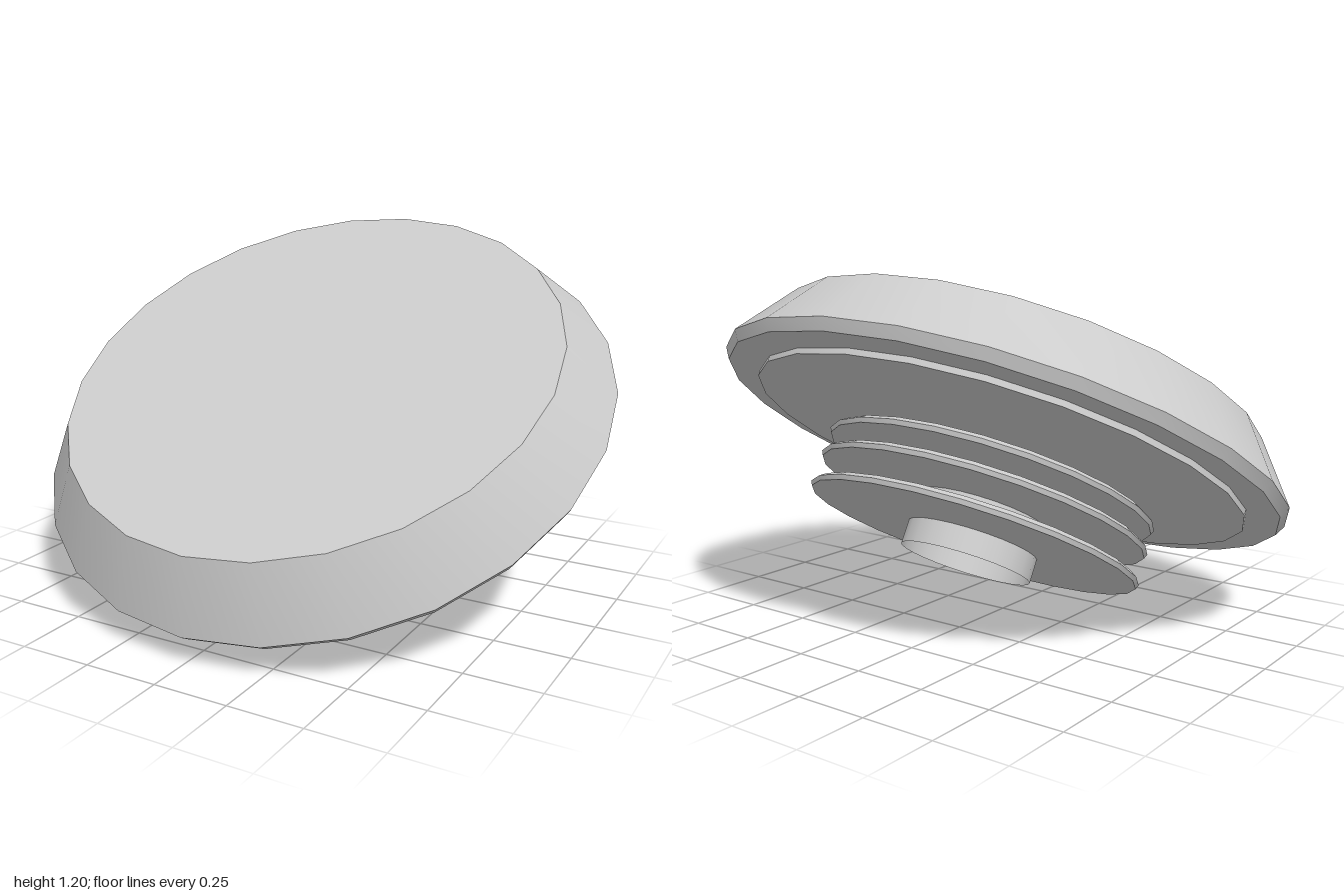
import * as THREE from 'three';
import { toCreasedNormals } from 'three/addons/utils/BufferGeometryUtils.js';

const SIDES = 24;

export function createModel() {
  const model = new THREE.Group();
  model.name = 'tiltedDisc';
  const material = new THREE.MeshStandardMaterial({ color: 0xcccccc });
  const doubleSided = new THREE.MeshStandardMaterial({ color: 0xcccccc, side: THREE.DoubleSide });

  // All parts share one axis, leaning 30 degrees towards the front
  const tilted = new THREE.Group();
  tilted.name = 'tiltedAssembly';
  tilted.position.y = 0.595;
  tilted.rotation.x = Math.PI / 6;
  model.add(tilted);

  // Turned part from a [radius, height] profile, bottom to top
  function addTurned(name, profile) {
    const points = profile.map(([r, y]) => new THREE.Vector2(r, y));
    const geometry = toCreasedNormals(new THREE.LatheGeometry(points, SIDES), 0.4);
    const mesh = new THREE.Mesh(geometry, material);
    mesh.name = name;
    tilted.add(mesh);
  }

  // Wide head with sloping side and a small chamfer below the rim
  addTurned('head', [[0, -0.036], [0.978, -0.036], [1, 0], [0.86, 0.211], [0, 0.211]]);

  // Thin plate under the head
  addTurned('backPlate', [[0, -0.056], [0.868, -0.056], [0.868, -0.03], [0, -0.03]]);

  // Three fins with bevelled upper edges
  [-0.156, -0.241, -0.35].forEach((y, i) => {
    addTurned('fin' + (i + 1), [
      [0, y], [0.575, y], [0.582, y + 0.015], [0.56, y + 0.031], [0, y + 0.031],
    ]);
  });

  // Hollow stem, open at the bottom
  const stem = new THREE.Mesh(
    new THREE.CylinderGeometry(0.229, 0.229, 0.383, SIDES, 1, true), doubleSided);
  stem.name = 'stem';
  stem.position.y = -0.2415;
  tilted.add(stem);

  return model;
}
